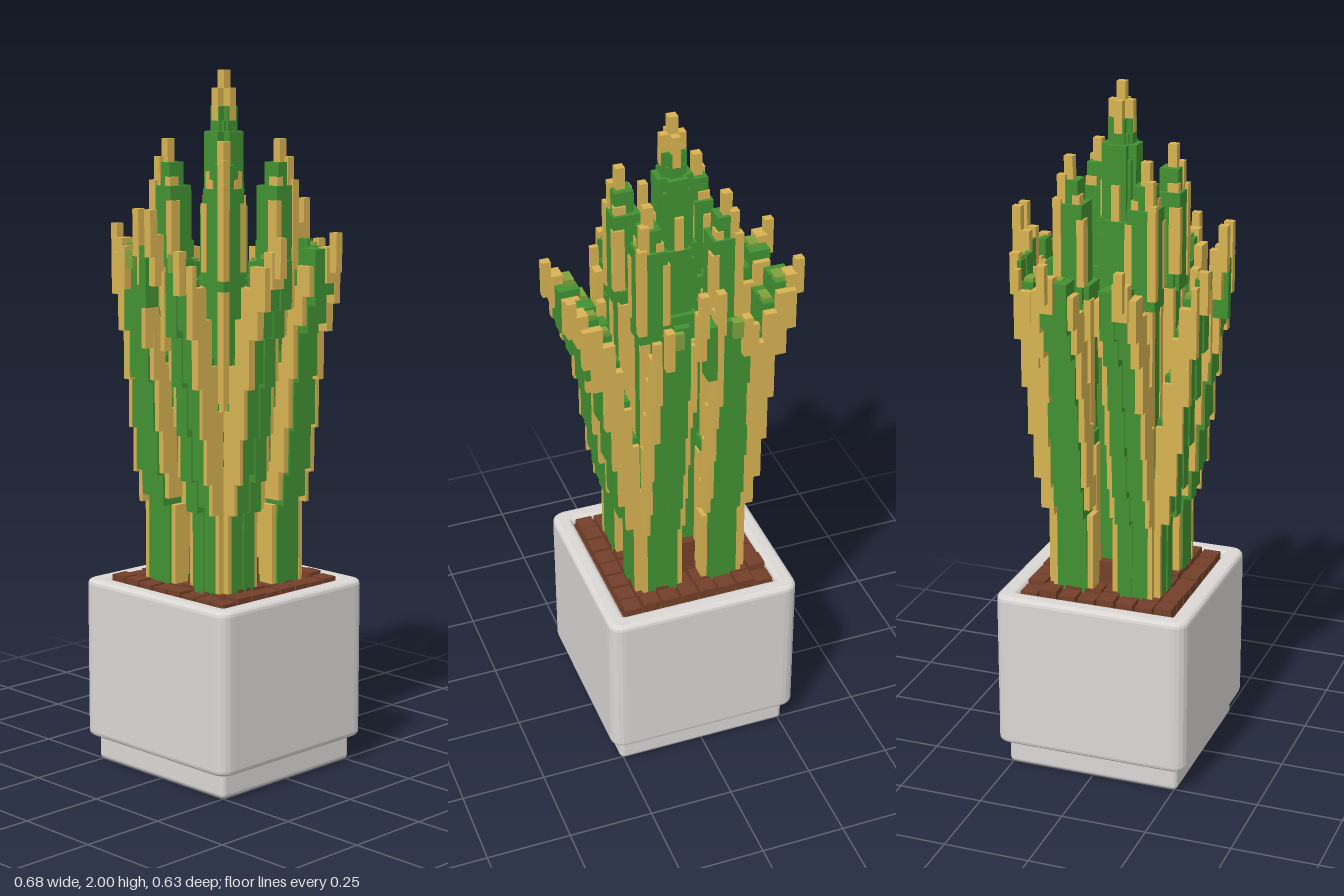
import * as THREE from 'three';
import { mergeGeometries } from 'three/addons/utils/BufferGeometryUtils.js';
import { RoundedBoxGeometry } from 'three/addons/geometries/RoundedBoxGeometry.js';

const mat = (name, color) => {
  const m = new THREE.MeshStandardMaterial({ color });
  m.name = name;
  return m;
};

// box between two corners
function block(x0, x1, y0, y1, z0, z1) {
  const g = new THREE.BoxGeometry(Math.abs(x1 - x0), Math.abs(y1 - y0), Math.abs(z1 - z0));
  return g.translate((x0 + x1) / 2, (y0 + y1) / 2, (z0 + z1) / 2);
}

function roundedSquare(path, h, r) {
  path.moveTo(-h + r, -h);
  path.lineTo(h - r, -h);
  path.quadraticCurveTo(h, -h, h, -h + r);
  path.lineTo(h, h - r);
  path.quadraticCurveTo(h, h, h - r, h);
  path.lineTo(-h + r, h);
  path.quadraticCurveTo(-h, h, -h, h - r);
  path.lineTo(-h, -h + r);
  path.quadraticCurveTo(-h, -h, -h + r, -h);
  return path;
}

export function createModel() {
  const model = new THREE.Group();
  model.name = 'pottedPlant';
  const green = mat('leafGreen', 0x429232);
  const lime = mat('leafLightGreen', 0x7fa23c);
  const yellow = mat('leafYellow', 0xd8b352);
  const brown = mat('soilBrown', 0x74402a);
  const white = mat('potWhite', 0xdad7d5);

  let seed = 7;
  const rand = () => (seed = (seed * 16807) % 2147483647) / 2147483647;

  const add = (parent, name, geometry, material) => {
    const mesh = new THREE.Mesh(geometry, material);
    mesh.name = name;
    parent.add(mesh);
    return mesh;
  };
  // one mesh per colour for each leaf
  function addLeaf(name, parts) {
    const group = new THREE.Group();
    group.name = name;
    for (const [material, list] of parts) {
      if (list.length) add(group, name + '_' + material.name, mergeGeometries(list), material);
    }
    model.add(group);
  }

  // pot: hollow rounded body on a slightly smaller foot
  const wall = roundedSquare(new THREE.Shape(), 0.275, 0.03);
  wall.holes.push(roundedSquare(new THREE.Path(), 0.25, 0.02));
  const body = new THREE.ExtrudeGeometry(wall, {
    depth: 0.44, bevelEnabled: true, bevelSize: 0.015, bevelThickness: 0.015, bevelSegments: 3, curveSegments: 5,
  });
  body.rotateX(-Math.PI / 2).translate(0, 0.09, 0);
  add(model, 'potBody', body, white);
  add(model, 'potFoot', new RoundedBoxGeometry(0.52, 0.12, 0.52, 3, 0.015).translate(0, 0.06, 0), white);

  // soil bed with square crumbs
  const soil = [block(-0.24, 0.24, 0.4, 0.525, -0.24, 0.24)];
  for (let i = 0; i < 8; i++) {
    for (let j = 0; j < 8; j++) {
      const x = -0.203 + i * 0.058, z = -0.203 + j * 0.058, h = 0.545 + rand() * 0.015;
      soil.push(block(x - 0.025, x + 0.025, 0.5, h, z - 0.025, z + 0.025));
    }
  }
  for (const s of [-1, 1]) {
    soil.push(block(-0.03, 0.03, 0.5, 0.65, s * 0.07, s * 0.11));
    soil.push(block(s * 0.07, s * 0.11, 0.5, 0.62, -0.03, 0.03));
  }
  add(model, 'soil', mergeGeometries(soil), brown);

  // central spire: stacked crosses, [bottom, top, long half, short half]
  const spire = [
    [0.52, 1.15, 0.085, 0.045], [1.1, 1.42, 0.075, 0.045], [1.38, 1.62, 0.06, 0.035],
    [1.55, 1.83, 0.05, 0.028], [1.78, 1.9, 0.035, 0.018],
  ];
  const core = [], coreEdge = [block(-0.013, 0.013, 1.88, 2, -0.013, 0.013)];
  for (const [y0, y1, a, b] of spire) {
    core.push(block(-a, a, y0, y1, -b, b), block(-b, b, y0, y1, -a, a));
    const m = (a + b) / 2;
    core.push(block(-m, m, y0, y1 - 0.04, -m, m));
  }
  for (const s of [-1, 1]) {
    coreEdge.push(block(s * 0.012, s * 0.036, 1.86, 1.95, -0.012, 0.012));
    coreEdge.push(block(-0.012, 0.012, 1.86, 1.95, s * 0.012, s * 0.036));
    coreEdge.push(block(s * 0.045, s * 0.06, 1.6, 1.72, -0.012, 0.012));
    coreEdge.push(block(-0.012, 0.012, 1.6, 1.72, s * 0.045, s * 0.06));
  }
  addLeaf('centreLeaf', [[green, core], [yellow, coreEdge]]);

  // four upright inner leaves: [bottom, top, inner, outer]
  const inner = [[0.52, 1.02, 0.04, 0.12], [0.98, 1.45, 0.05, 0.133], [1.4, 1.68, 0.065, 0.145], [1.62, 1.745, 0.08, 0.135]];
  for (const sx of [-1, 1]) {
    for (const sz of [-1, 1]) {
      const g = [], e = [];
      for (const [y0, y1, a, b] of inner) {
        g.push(block(sx * a, sx * b, y0, y1, sz * a, sz * b));
        e.push(block(sx * (b - 0.02), sx * (b + 0.004), y0 + 0.03, y1 + 0.015, sz * (b - 0.02), sz * (b + 0.004)));
        e.push(block(sx * (a - 0.006), sx * (a + 0.015), y0 + 0.05, y1 - 0.04, sz * (b - 0.03), sz * (b + 0.003)));
        e.push(block(sx * (b - 0.03), sx * (b + 0.003), y0 + 0.05, y1 - 0.04, sz * (a - 0.006), sz * (a + 0.015)));
      }
      e.push(block(sx * 0.098, sx * 0.124, 1.7, 1.81, sz * 0.098, sz * 0.124));
      addLeaf('innerLeaf', [[green, g], [yellow, e]]);
    }
  }

  // eight outer leaves leaning out in steps: [bottom, top, inner, outer]
  const outer = [
    [0.54, 0.8, 0.11, 0.17], [0.78, 0.92, 0.13, 0.195], [0.87, 1.08, 0.15, 0.216], [1.0, 1.21, 0.17, 0.232],
    [1.14, 1.34, 0.193, 0.25], [1.28, 1.43, 0.215, 0.283], [1.36, 1.49, 0.25, 0.31],
  ];
  for (const alongZ of [false, true]) {
    for (const sr of [-1, 1]) {
      for (const st of [-1, 1]) {
        const g = [], l = [], e = [];
        const put = (list, y0, y1, r0, r1, t0, t1) => list.push(alongZ
          ? block(st * t0, st * t1, y0, y1, sr * r0, sr * r1)
          : block(sr * r0, sr * r1, y0, y1, st * t0, st * t1));
        outer.forEach(([y0, y1, r0, r], i) => {
          const r1 = alongZ ? Math.min(r, 0.27) : r;
          const edge = i > 3 ? 0.126 : 0.137;
          const lift = i ? rand() * 0.03 : 0;
          put(g, y0, y1 + lift, r0, r1, 0.047, 0.09);
          put(g, y0 + lift, y1 + 0.01, r0 + 0.004, r1 - 0.004, 0.09, edge);
          put(e, y0 + lift, y1 - 0.02, r0 + 0.006, r1 - 0.006, 0.03, 0.047);
          put(e, y0, y1 - 0.01, r0 + 0.002, r1 - 0.002, edge, 0.15);
          if (i > 1) put(l, y1 - 0.03, y1 + 0.02, r0 + 0.008, r0 + 0.035, 0.07, 0.115);
        });
        if (alongZ) {
          put(e, 1.4, 1.52, 0.262, 0.29, 0.098, 0.122);
          // slim tip beside the centre line
          put(e, 1.24, 1.46, 0.245, 0.275, 0.03, 0.046);
          put(e, 1.42, 1.56, 0.265, 0.3, 0.012, 0.036);
          put(e, 1.5, 1.63, 0.29, 0.316, 0.012, 0.036);
          put(g, 1.36, 1.53, 0.265, 0.313, 0, 0.013);
        } else {
          put(e, 1.42, 1.52, 0.285, 0.317, 0.085, 0.13);
          put(e, 1.45, 1.56, 0.314, 0.34, 0.098, 0.122);
        }
        addLeaf('outerLeaf', [[green, g], [lime, l], [yellow, e]]);
      }
    }
  }
  return model;
}
